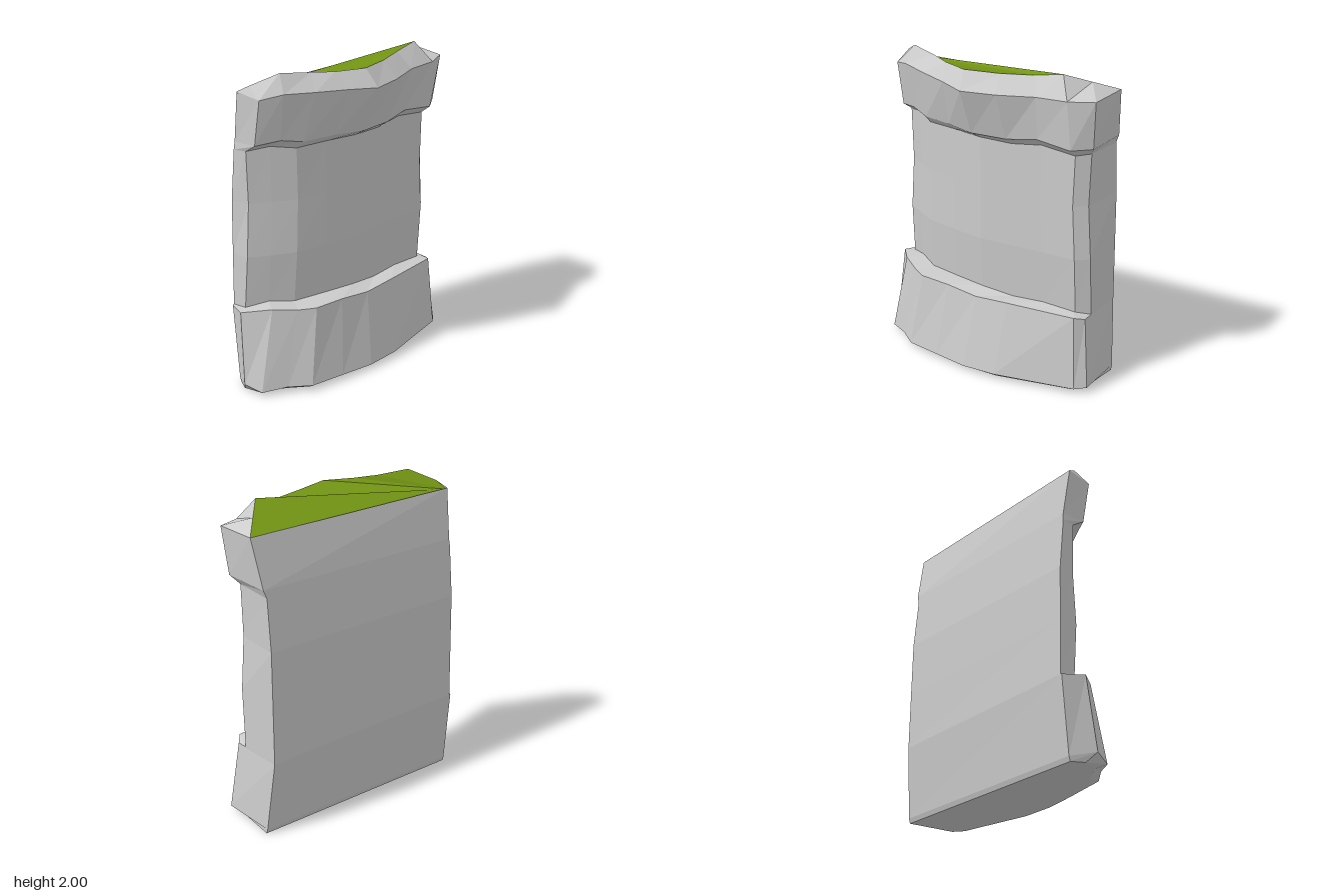
import * as THREE from 'three';

// Plan outlines [x, z], from the back corner at +z, round the front face, to the back corner at -z
const BASE = [[-.245, .7], [-.11, .79], [0, .75], [.085, .61], [.18, .49], [.225, .26], [.262, .03], [.265, -.2], [.17, -.72], [.12, -.785], [-.245, -.775]];
const STEP = [[-.29, .7], [-.16, .76], [-.01, .64], [.08, .51], [.145, .41], [.165, .2], [.185, -.02], [.185, -.25], [.14, -.69], [.08, -.74], [-.29, -.745]];
const WALL = [[-.28, .69], [-.16, .69], [-.08, .57], [.005, .43], [.055, .22], [.095, 0], [.09, -.22], [.085, -.43], [.09, -.66], [.03, -.738], [-.28, -.745]];
const LIP = [[-.245, .685], [-.08, .685], [0, .55], [.06, .42], [.12, .21], [.185, .01], [.165, -.22], [.14, -.42], [.155, -.65], [.085, -.765], [-.245, -.765]];
const LEDGE = [[-.2, .7], [-.03, .69], [.05, .57], [.13, .39], [.21, .19], [.29, .02], [.25, -.2], [.18, -.43], [.18, -.635], [.12, -.79], [-.18, -.8]];
const GRASS = [[-.19, .7], [-.13, .67], [-.01, .54], [.06, .35], [.13, .22], [.21, .04], [.16, -.18], [.1, -.38], [.09, -.56], [-.045, -.68], [-.18, -.8]];

// Small height changes along the rock layers
const BOTTOM_WAVE = [0, .03, -.005, .01, .005, .005, 0, .005, .005, .01, 0];
const STEP_WAVE = [0, .01, .035, .015, .015, .01, -.01, 0, -.01, -.03, -.03];
const LIP_WAVE = [0, .005, .025, 0, .005, 0, -.005, .02, -.005, .005, 0];
const LEDGE_WAVE = [.02, -.005, .02, .01, 0, -.01, -.01, -.005, 0, .005, .01];
const GRASS_RISE = [0, .05, .12, .1, .09, .09, .085, .09, .12, .06, 0];

// One ring of points: front points shifted in x and scaled in z, back corners on their own plane
function ring(outline, y, { dx = 0, sz = 1, back = null, wave = null } = {}) {
  const last = outline.length - 1;
  return outline.map(([x, z], i) => {
    const py = y + (wave ? wave[i] : 0);
    if (i === 0 || i === last) return new THREE.Vector3(back ?? x, py, z);
    return new THREE.Vector3(x + dx, py, z * sz);
  });
}

function toGeometry(triangles) {
  const geometry = new THREE.BufferGeometry().setFromPoints(triangles.flat());
  geometry.computeVertexNormals();
  return geometry;
}

// Closed skin through rings stacked from bottom to top
function loft(rings) {
  const triangles = [];
  for (let r = 0; r < rings.length - 1; r++) {
    const lower = rings[r], upper = rings[r + 1], n = lower.length;
    for (let i = 0; i < n; i++) {
      const j = (i + 1) % n;
      triangles.push([lower[i], lower[j], upper[j]], [lower[i], upper[j], upper[i]]);
    }
  }
  return toGeometry(triangles);
}

// Fan over one ring from its first back corner, facing up or down
function cap(points, up) {
  const triangles = [];
  for (let i = 1; i < points.length - 1; i++) {
    const [b, c] = up ? [points[i], points[i + 1]] : [points[i + 1], points[i]];
    triangles.push([points[0], b, c]);
  }
  return toGeometry(triangles);
}

export function createModel() {
  const group = new THREE.Group();
  group.name = 'rockCliff';
  const rock = new THREE.MeshStandardMaterial({ color: 0xcccccc, flatShading: true });
  const grass = new THREE.MeshStandardMaterial({ color: 0x749614, flatShading: true });
  const add = (name, geometry, material) => {
    const mesh = new THREE.Mesh(geometry, material);
    mesh.name = name;
    group.add(mesh);
  };

  const underside = ring(BASE, 0, { dx: -.05, sz: .94, back: -.235 });
  const wallFoot = ring(WALL, .515, { dx: -.025, sz: 1.005, back: -.29, wave: STEP_WAVE });
  const wallTop = ring(WALL, 1.525, { sz: .985, back: -.25, wave: LIP_WAVE });
  const grassEdge = ring(GRASS, 1.88, { wave: GRASS_RISE });

  // Stepped foot of the cliff
  add('base', loft([
    underside,
    ring(BASE, .03, { wave: BOTTOM_WAVE }),
    ring(STEP, .51, { wave: STEP_WAVE }),
    wallFoot,
  ]), rock);
  add('underside', cap(underside, false), rock);

  // Recessed wall
  add('wall', loft([
    wallFoot,
    ring(WALL, .86, { back: -.285 }),
    ring(WALL, 1.2, { sz: .97, back: -.28 }),
    wallTop,
  ]), rock);

  // Overhanging ledge with a bevelled rim
  add('ledge', loft([
    wallTop,
    ring(LIP, 1.575, { wave: LIP_WAVE }),
    ring(LEDGE, 1.87, { wave: LEDGE_WAVE }),
    grassEdge,
  ]), rock);

  // Sloping grass on top
  add('grassTop', cap(grassEdge, true), grass);
  return group;
}
